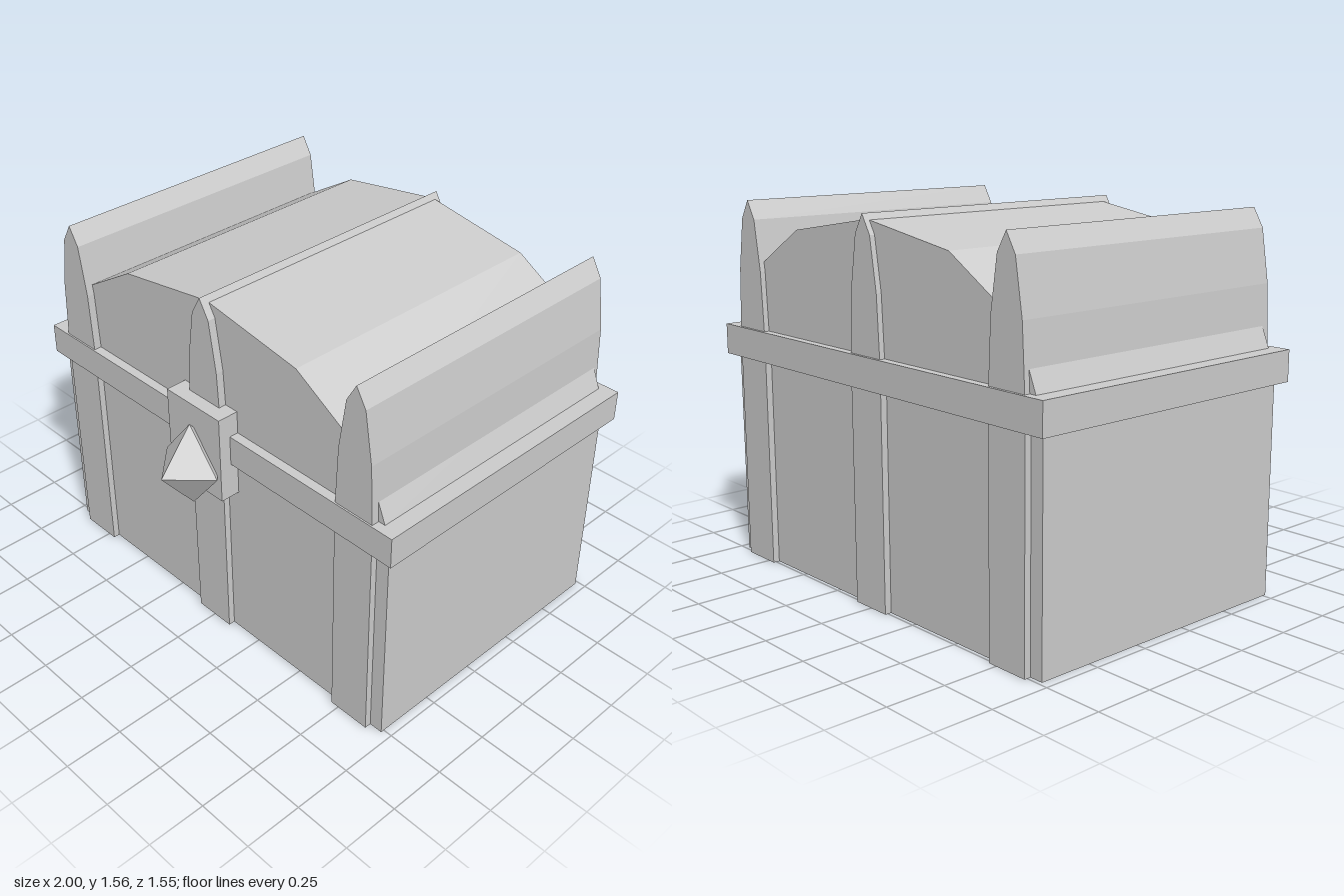
import * as THREE from 'three';

export function createModel() {
  const chest = new THREE.Group();
  chest.name = 'chest';
  const grey = new THREE.MeshStandardMaterial({ color: 0xcccccc });
  grey.name = 'light grey';

  function add(name, geometry) {
    geometry = geometry.index ? geometry.toNonIndexed() : geometry;
    geometry.computeVertexNormals(); // flat facets
    const mesh = new THREE.Mesh(geometry, grey);
    mesh.name = name;
    chest.add(mesh);
    return mesh;
  }

  // box given by its limits on each axis
  function box(name, x0, x1, y0, y1, z0, z1) {
    const mesh = add(name, new THREE.BoxGeometry(x1 - x0, y1 - y0, z1 - z0));
    mesh.position.set((x0 + x1) / 2, (y0 + y1) / 2, (z0 + z1) / 2);
  }

  // symmetric arch: right half of the outline from base to peak, mirrored
  function arch(name, half, x, z0, z1) {
    const left = half.slice(0, -1).reverse().map(([px, py]) => [-px, py]);
    const shape = new THREE.Shape([...half, ...left].map(p => new THREE.Vector2(...p)));
    const geometry = new THREE.ExtrudeGeometry(shape, { depth: z1 - z0, bevelEnabled: false });
    add(name, geometry).position.set(x, 0, z0);
  }

  // main box and the rim around its opening
  box('body', -0.96, 0.96, 0, 0.95, -0.735, 0.515);
  box('rim', -1, 1, 0.89, 1.02, -0.775, 0.55);

  // faceted lid
  arch('lid', [[0.935, 1.0], [0.93, 1.02], [0.835, 1.25], [0.48, 1.463], [0, 1.54]], 0, -0.74, 0.51);

  // three bands on the body, each continued as a pointed ridge over the lid
  for (const x of [-0.807, 0, 0.807]) {
    box('bodyBand', x - 0.094, x + 0.094, 0, 0.95, -0.763, 0.543);
    arch('lidRidge', [[0.094, 0.98], [0.092, 1.03], [0.08, 1.27], [0.046, 1.485], [0, 1.563]], x, -0.763, 0.543);
  }

  // lock plate with a faceted gem
  box('lockPlate', -0.153, 0.153, 0.735, 1.118, 0.5, 0.602);
  const gem = add('lockGem', new THREE.OctahedronGeometry(1).scale(0.153, 0.19, 0.153));
  gem.position.set(0, 0.848, 0.622);

  return chest;
}
